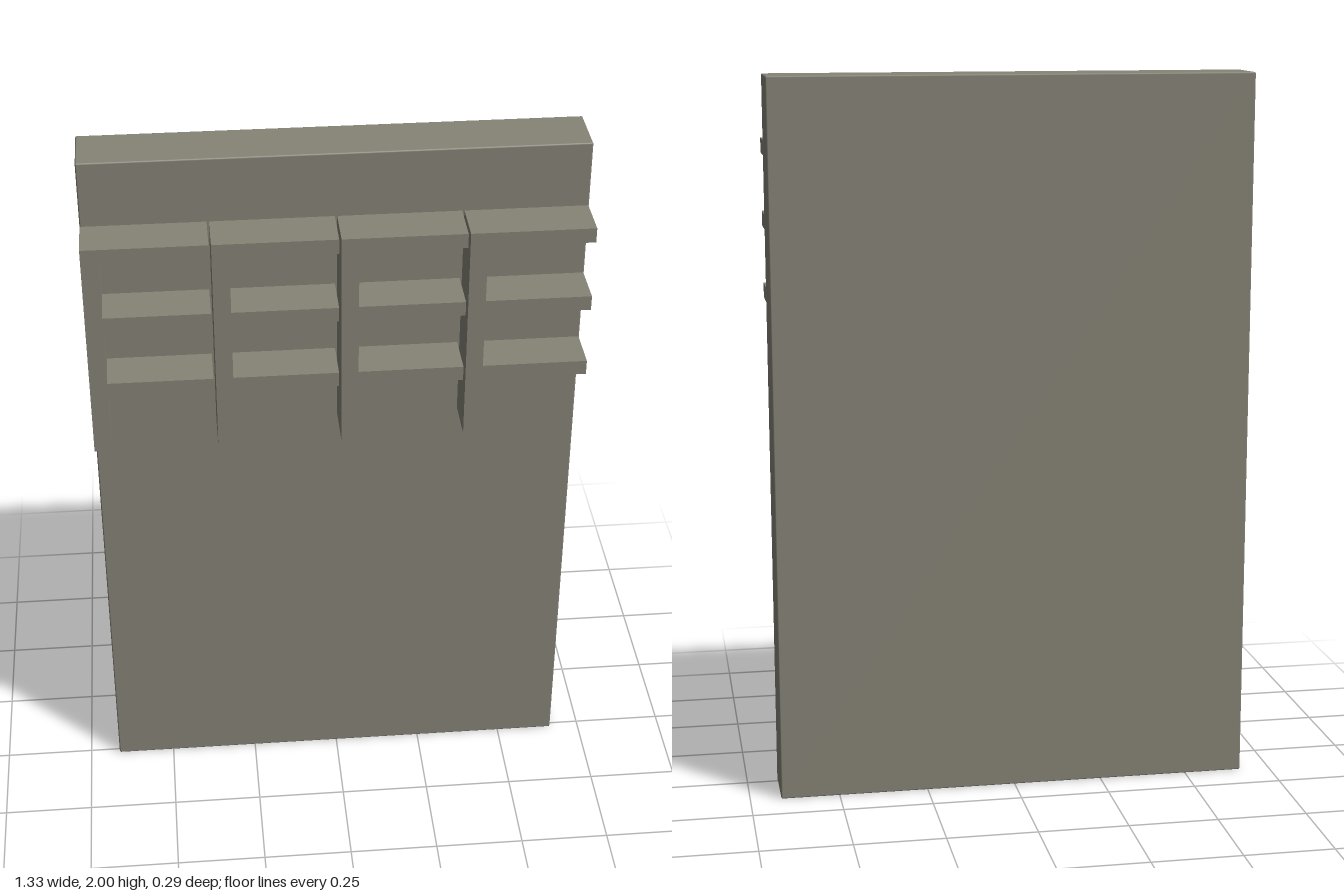
import * as THREE from 'three';
import { RoundedBoxGeometry } from 'three/addons/geometries/RoundedBoxGeometry.js';

export function createModel() {
  const model = new THREE.Group();
  model.name = 'wallPanelWithRacks';
  const stone = new THREE.MeshStandardMaterial({ color: 0x868376 });
  stone.name = 'warm grey';

  // Back slab with a tiny chamfer
  const slab = new THREE.Mesh(new RoundedBoxGeometry(1.328, 2, 0.16, 1, 0.004), stone);
  slab.name = 'backPanel';
  slab.position.set(0, 1, -0.063);
  model.add(slab);

  // Comb outline of one rack: a post on one side with three shelves
  const post = 0.046, width = 0.327, bottom = 1.205, thick = 0.041;
  const outline = [[0, bottom], [post, bottom]];
  for (const top of [1.418, 1.618, 1.82]) {
    outline.push([post, top - thick], [width, top - thick], [width, top]);
    if (top < 1.8) outline.push([post, top]);
  }
  outline.push([0, 1.82]);
  const shape = new THREE.Shape(outline.map(([x, y]) => new THREE.Vector2(x, y)));
  const rackGeometry = new THREE.ExtrudeGeometry(shape, { depth: 0.127, bevelEnabled: false });

  // Four racks side by side with narrow gaps
  for (let i = 0; i < 4; i++) {
    const rack = new THREE.Mesh(rackGeometry, stone);
    rack.name = `shelfRack${i + 1}`;
    rack.position.set(-0.664 + i * 0.333, 0, 0.016);
    model.add(rack);
  }
  return model;
}
